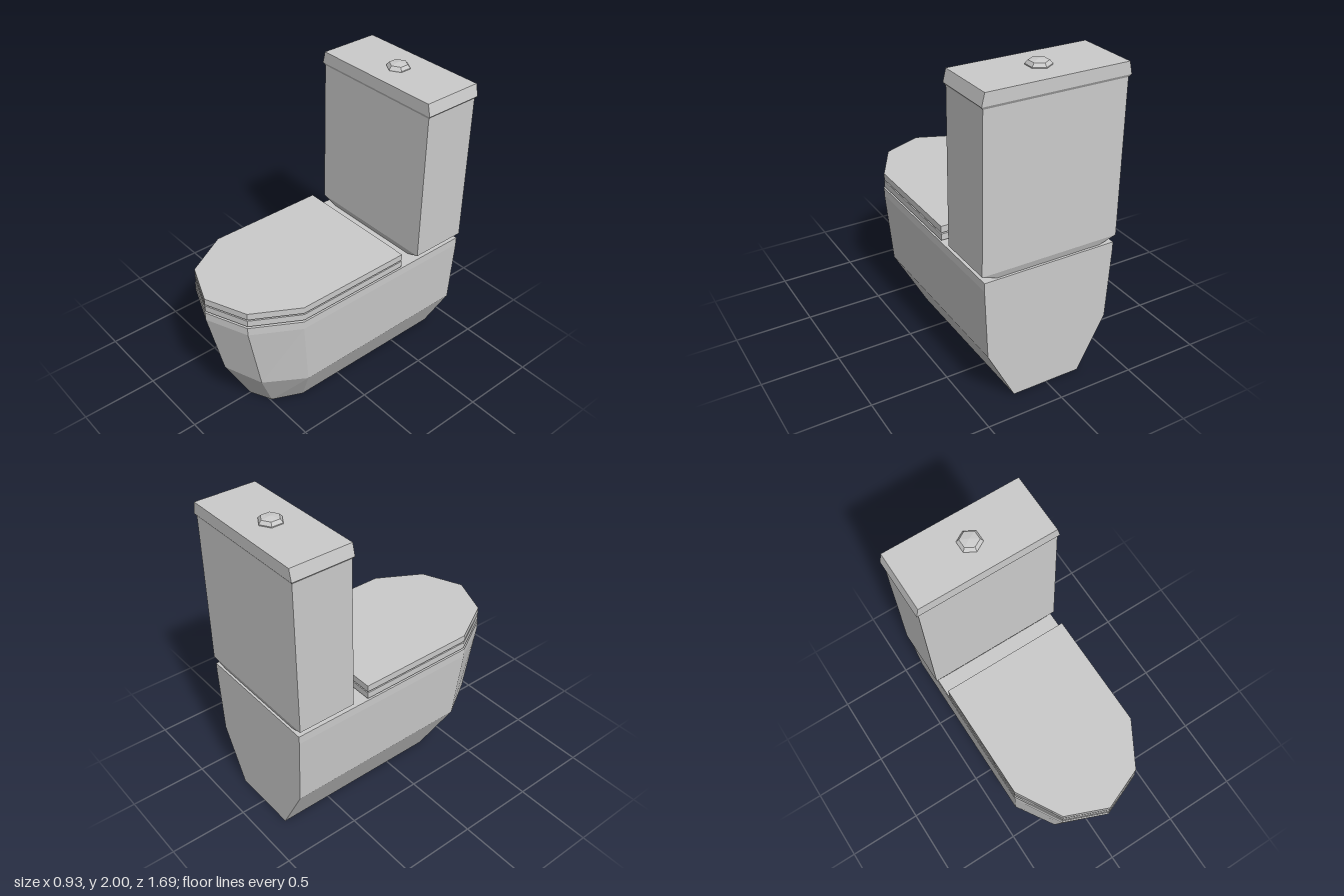
import * as THREE from 'three';

const material = new THREE.MeshStandardMaterial({ color: 0xcccccc, flatShading: true });

// Joins convex rings of [x, z] points stacked at heights y, and caps both ends.
function loft(name, sections) {
  const n = sections[0].ring.length;
  const positions = [];
  const index = [];
  for (const { y, ring } of sections) {
    for (const [x, z] of ring) positions.push(x, y, z);
  }
  for (let s = 0; s < sections.length - 1; s++) {
    for (let i = 0; i < n; i++) {
      const a = s * n + i;
      const b = s * n + ((i + 1) % n);
      index.push(a, b, b + n, a, b + n, a + n);
    }
  }
  const top = (sections.length - 1) * n;
  for (let i = 1; i < n - 1; i++) {
    index.push(0, i + 1, i);
    index.push(top, top + i, top + i + 1);
  }
  const indexed = new THREE.BufferGeometry();
  indexed.setAttribute('position', new THREE.Float32BufferAttribute(positions, 3));
  indexed.setIndex(index);
  const geometry = indexed.toNonIndexed();
  geometry.computeVertexNormals();
  const mesh = new THREE.Mesh(geometry, material);
  mesh.name = name;
  return mesh;
}

// Straight back and sides with a pointed, faceted front.
const bowlRing = (w, back, side, m, mid, front) => [
  [w, back], [-w, back], [-w, side], [-m, mid], [0, front], [m, mid], [w, side],
];

const boxRing = (w, back, front) => [[w, back], [-w, back], [-w, front], [w, front]];

export function createModel() {
  const model = new THREE.Group();
  model.name = 'toilet';

  // Bowl and pedestal
  const rim = bowlRing(0.435, -0.835, 0.45, 0.27, 0.735, 0.845);
  model.add(loft('bowl', [
    { y: 0, ring: bowlRing(0.228, -0.835, 0.3, 0.142, 0.49, 0.56) },
    { y: 0.345, ring: bowlRing(0.41, -0.835, 0.4, 0.257, 0.645, 0.74) },
    { y: 0.8, ring: rim },
    { y: 0.853, ring: rim },
  ]));

  // Seat and lid, two thin slabs of the same outline
  const slab = bowlRing(0.432, -0.335, 0.445, 0.268, 0.732, 0.842);
  for (const [name, low, high] of [['seat', 0.864, 0.906], ['seatLid', 0.915, 0.958]]) {
    model.add(loft(name, [{ y: low, ring: slab }, { y: high, ring: slab }]));
  }

  // Tank, tapered at its foot
  const tank = boxRing(0.45, -0.835, -0.455);
  model.add(loft('tank', [
    { y: 0.853, ring: boxRing(0.35, -0.82, -0.47) },
    { y: 0.897, ring: tank },
    { y: 1.875, ring: tank },
  ]));

  // Tank lid with a bevelled underside
  model.add(loft('tankLid', [
    { y: 1.873, ring: boxRing(0.45, -0.835, -0.455) },
    { y: 1.89, ring: boxRing(0.463, -0.845, -0.447) },
    { y: 1.966, ring: boxRing(0.445, -0.845, -0.447) },
  ]));

  // Six-sided flush button
  const profile = [[0.075, 1.964], [0.075, 1.972], [0.058, 1.992], [0, 2]]
    .map(([r, y]) => new THREE.Vector2(r, y));
  const button = new THREE.Mesh(new THREE.LatheGeometry(profile, 6), material);
  button.name = 'flushButton';
  button.position.z = -0.645;
  model.add(button);

  return model;
}
